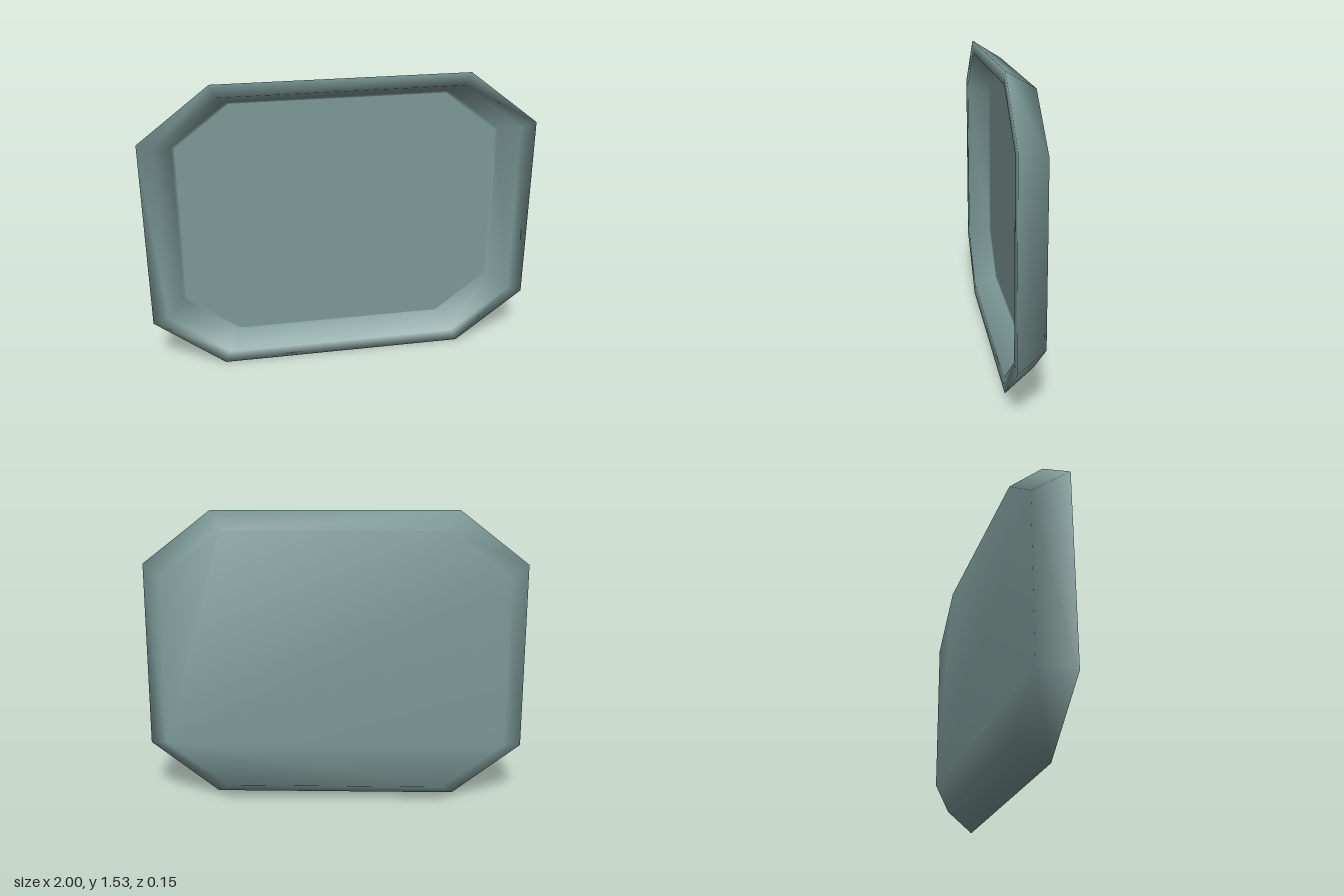
import * as THREE from 'three';

const MID = 0.765;

// Eight-cornered ring, counter-clockwise seen from the front:
// (a, b) is the corner on the side edge, (c, d) the one on the top edge.
function ring([a, b, c, d, z]) {
  return [[a, -b], [a, b], [c, d], [-c, d], [-a, b], [-a, -b], [-c, -d], [c, -d]]
    .map(([x, y]) => [x, y + MID, z]);
}

// Joins successive rings with quads; optionally closes the first ring at the
// back or the last ring at the front.
function loft(sections, { capBack = false, capFront = false } = {}) {
  const positions = sections.flatMap((s) => ring(s)).flat();
  const index = [];
  for (let r = 0; r < sections.length - 1; r++) {
    for (let i = 0; i < 8; i++) {
      const n = (i + 1) % 8;
      const p = r * 8, q = p + 8;
      index.push(p + i, p + n, q + n, p + i, q + n, q + i);
    }
  }
  const last = (sections.length - 1) * 8;
  for (let i = 1; i < 7; i++) {
    if (capBack) index.push(0, i + 1, i);
    if (capFront) index.push(last, last + i, last + i + 1);
  }
  const geometry = new THREE.BufferGeometry();
  geometry.setAttribute('position', new THREE.Float32BufferAttribute(positions, 3));
  geometry.setIndex(index);
  geometry.computeVertexNormals();
  return geometry;
}

export function createModel() {
  const group = new THREE.Group();
  group.name = 'tray';
  const material = new THREE.MeshStandardMaterial({ color: 0x7b9896 });

  const add = (name, geometry) => {
    const mesh = new THREE.Mesh(geometry, material);
    mesh.name = name;
    group.add(mesh);
  };

  // Underside, flared outer wall, lip and inner wall, softly shaded
  add('shell', loft([
    [0.885, 0.435, 0.57, 0.675, -0.075],
    [1.0, 0.488, 0.64, 0.765, 0.075],
    [0.92, 0.465, 0.61, 0.7, 0.075],
    [0.84, 0.425, 0.565, 0.642, -0.042],
    [0.825, 0.42, 0.55, 0.632, -0.047],
  ], { capBack: true }));

  // Flat inner floor
  add('floor', loft([[0.825, 0.42, 0.55, 0.632, -0.047]], { capFront: true }));

  return group;
}
